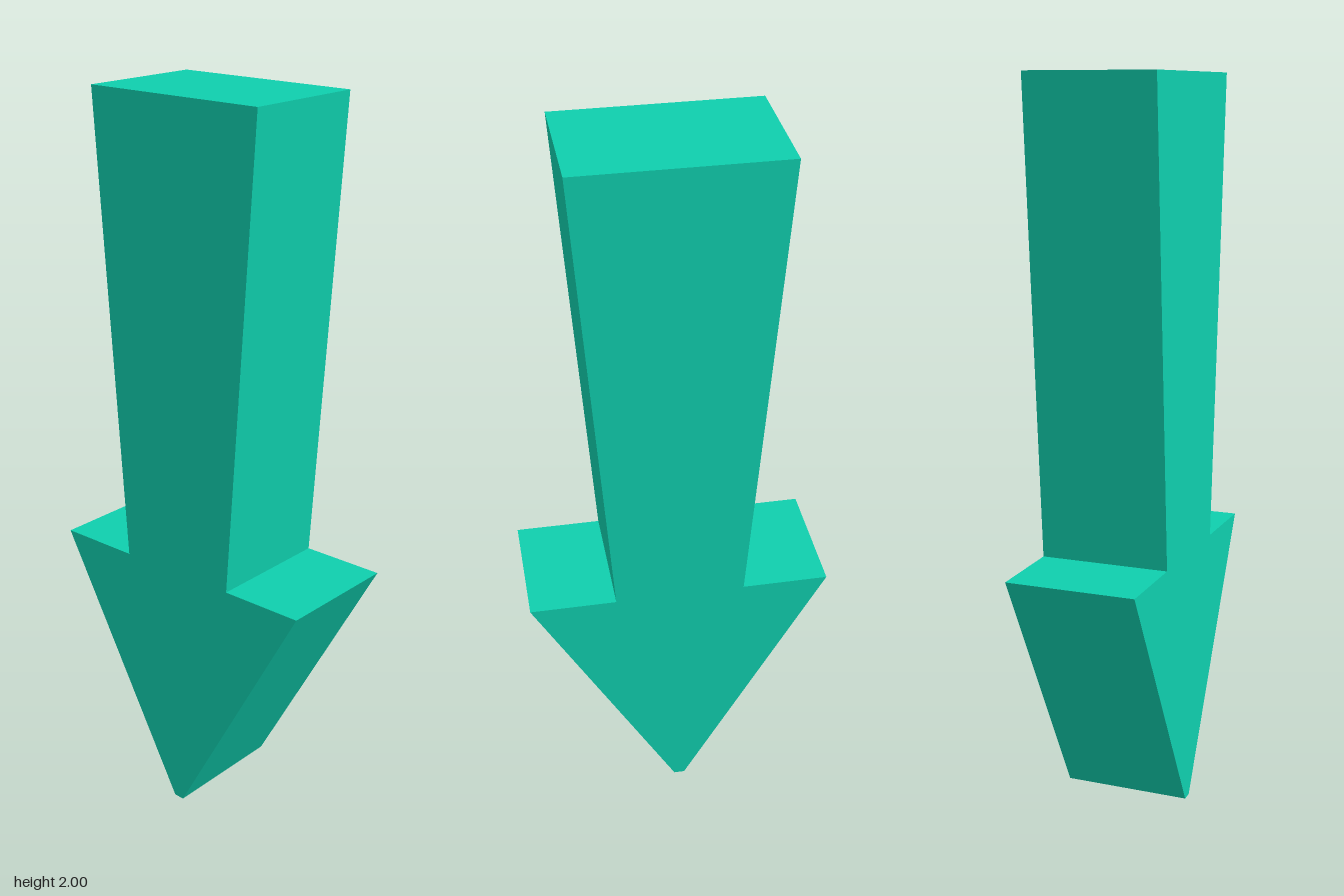
import * as THREE from 'three';

export function createModel() {
  const group = new THREE.Group();
  group.name = 'downArrow';
  const depth = 0.356;

  // Right half of the outline, from the blunt tip up to the shaft top
  const half = [[0.015, 0], [0.414, 0.726], [0.178, 0.726], [0.27, 2]];
  const mirrored = half.map(([x, y]) => [-x, y]).reverse();
  const outline = [...half, ...mirrored].map(([x, y]) => new THREE.Vector2(x, y));

  // Extruded arrow, centred front to back
  const geometry = new THREE.ExtrudeGeometry(new THREE.Shape(outline), {
    depth, bevelEnabled: false,
  });
  geometry.translate(0, 0, -depth / 2);

  const material = new THREE.MeshStandardMaterial({ color: 0x0fcfae, flatShading: true });
  const arrow = new THREE.Mesh(geometry, material);
  arrow.name = 'arrow';
  group.add(arrow);
  return group;
}
